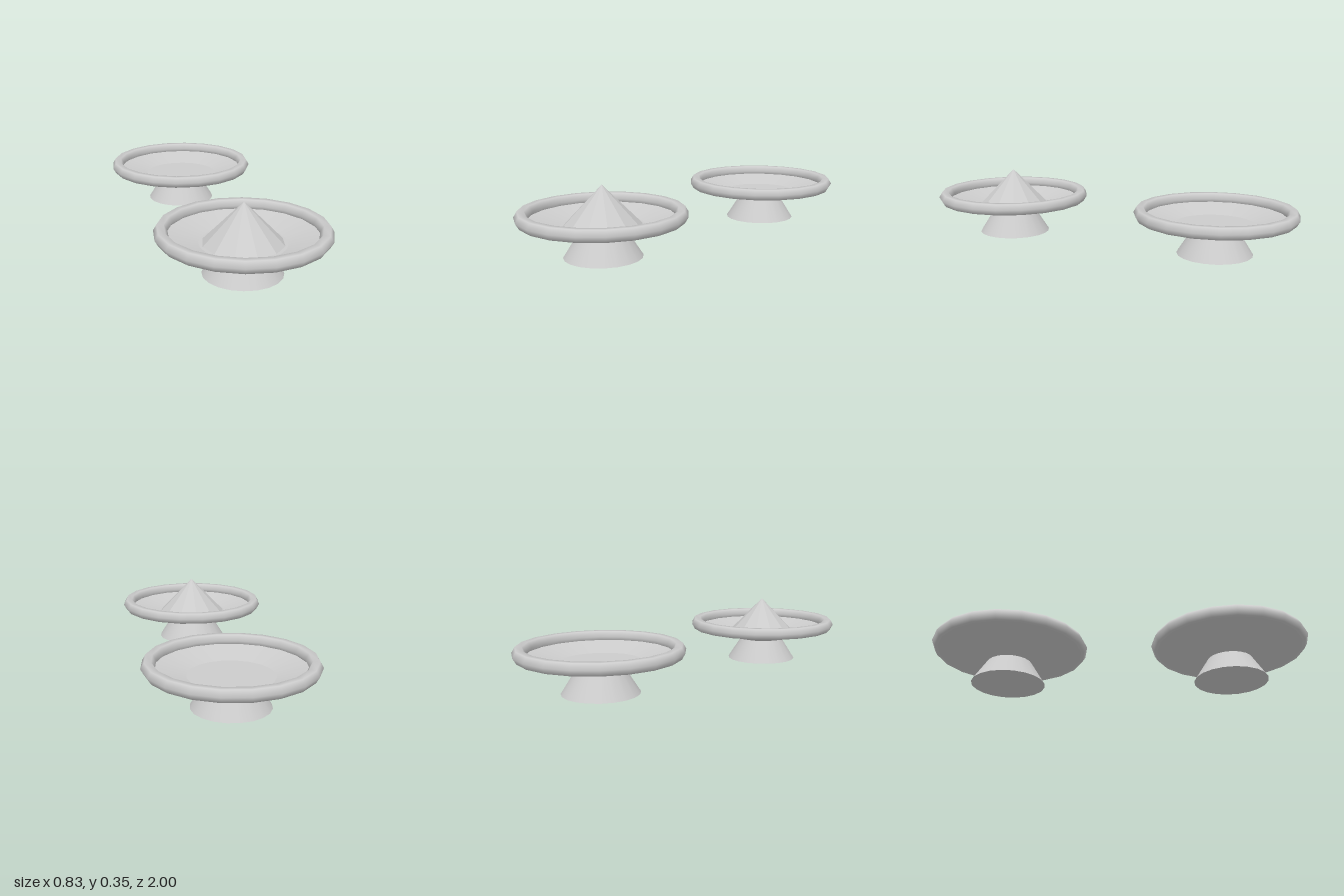
import * as THREE from 'three';

const SIDES = 20;
const material = new THREE.MeshStandardMaterial({ color: 0xcccccc });
const flatMaterial = new THREE.MeshStandardMaterial({ color: 0xcccccc, flatShading: true });

function addMesh(parent, name, geometry, y = 0, mat = material) {
  const mesh = new THREE.Mesh(geometry, mat);
  mesh.name = name;
  mesh.position.y = y;
  parent.add(mesh);
}

// Surface of revolution from [radius, height] pairs
function turned(...points) {
  return new THREE.LatheGeometry(points.map(([r, y]) => new THREE.Vector2(r, y)), SIDES);
}

function createDish(name) {
  const dish = new THREE.Group();
  dish.name = name;

  // Flared foot, closed underneath
  addMesh(dish, 'foot', new THREE.CylinderGeometry(0.117, 0.193, 0.12, SIDES), 0.06);

  // Shallow bowl: sloping underside, sloping inner wall and flat floor
  addMesh(dish, 'bowlUnderside', turned([0.1, 0.117], [0.118, 0.117], [0.385, 0.179]));
  addMesh(dish, 'bowlWall', turned([0.375, 0.193], [0.207, 0.152]));
  addMesh(dish, 'bowlFloor', turned([0.207, 0.152], [0, 0.152]));

  // Six-sided rolled rim
  const rim = new THREE.TorusGeometry(0.381, 0.033, 6, SIDES).rotateX(-Math.PI / 2);
  addMesh(dish, 'rim', rim, 0.207);
  return dish;
}

export function createModel() {
  const model = new THREE.Group();
  model.name = 'pairOfDishes';

  const front = createDish('filledDish');
  front.position.z = 0.586;
  // Conical heap resting on the floor of the front dish
  addMesh(front, 'heap', new THREE.ConeGeometry(0.195, 0.2, 12), 0.251, flatMaterial);

  const back = createDish('emptyDish');
  back.position.z = -0.586;

  model.add(front, back);
  return model;
}
